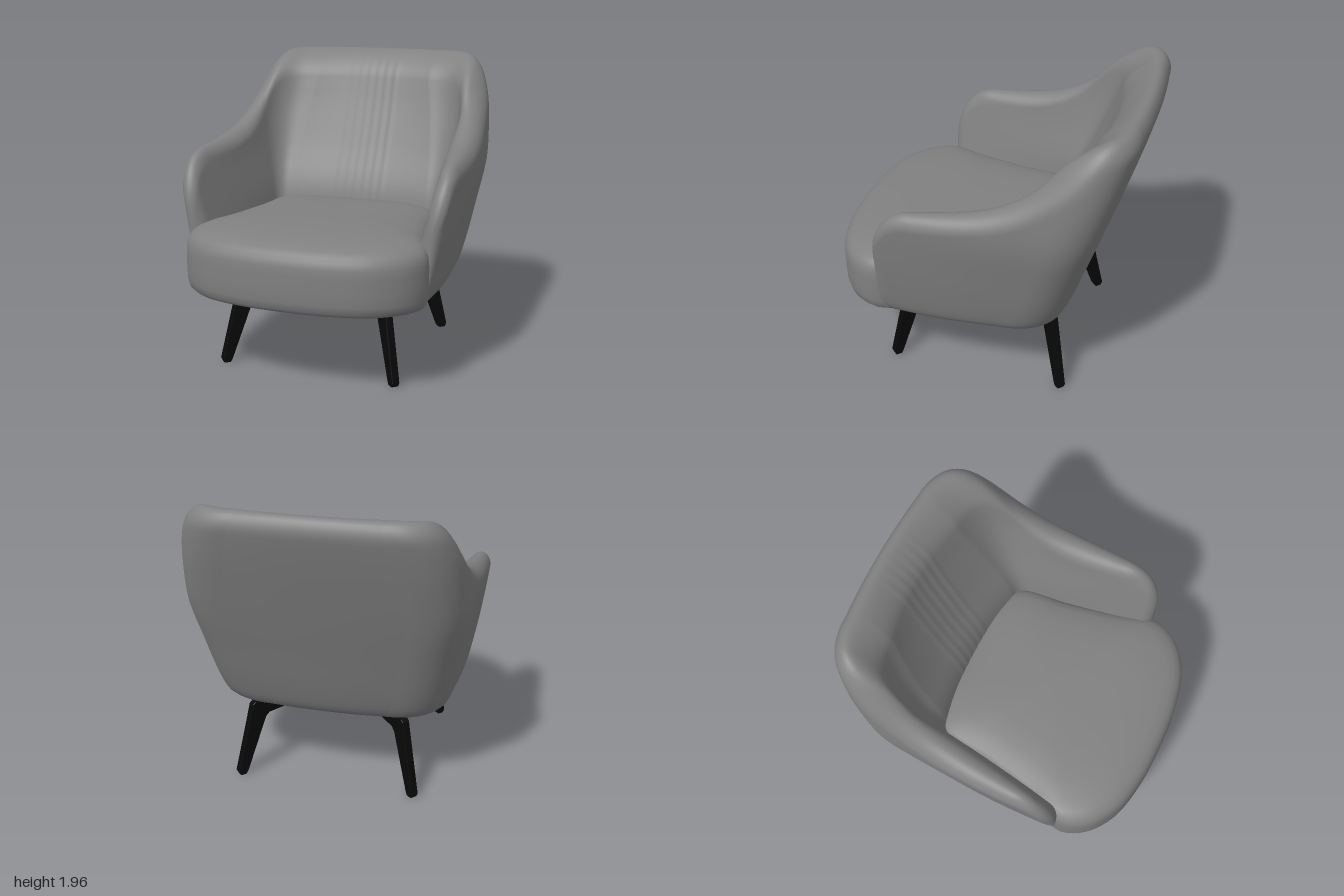
import * as THREE from 'three';

// Smooth monotone interpolation through [x, y] pairs, clamped at both ends
function curve(pts) {
  const n = pts.length;
  const d = pts.slice(1).map((p, i) => (p[1] - pts[i][1]) / (p[0] - pts[i][0]));
  const m = pts.map((_, i) => i === 0 ? d[0] : i === n - 1 ? d[n - 2]
    : d[i - 1] * d[i] > 0 ? 2 * d[i - 1] * d[i] / (d[i - 1] + d[i]) : 0);
  return (x) => {
    if (x <= pts[0][0]) return pts[0][1];
    if (x >= pts[n - 1][0]) return pts[n - 1][1];
    let i = 0;
    while (x > pts[i + 1][0]) i++;
    const h = pts[i + 1][0] - pts[i][0], t = (x - pts[i][0]) / h, t2 = t * t, t3 = t2 * t;
    return (2 * t3 - 3 * t2 + 1) * pts[i][1] + (t3 - 2 * t2 + t) * h * m[i]
      + (3 * t2 - 2 * t3) * pts[i + 1][1] + (t3 - t2) * h * m[i + 1];
  };
}

// Skin over nu stations of nv points each
function loft(nu, nv, fn, closedU, closedV) {
  const pos = [], idx = [];
  for (let i = 0; i < nu; i++) for (let j = 0; j < nv; j++) pos.push(...fn(i, j));
  for (let i = 0; i < (closedU ? nu : nu - 1); i++) {
    for (let j = 0; j < (closedV ? nv : nv - 1); j++) {
      const i2 = (i + 1) % nu, j2 = (j + 1) % nv;
      const a = i * nv + j, b = i * nv + j2, c = i2 * nv + j, e = i2 * nv + j2;
      idx.push(a, b, c, b, e, c);
    }
  }
  const g = new THREE.BufferGeometry();
  g.setAttribute('position', new THREE.Float32BufferAttribute(pos, 3));
  g.setIndex(idx);
  g.computeVertexNormals();
  return g;
}

const { lerp, smoothstep, clamp } = THREE.MathUtils;
const FLOOR = 0.53, FRONT = 0.585;

// Shell plan at height y: half width at the arm fronts and back corners, back z
const outer = {
  wF: curve([[0.53, 0.735], [0.56, 0.765], [0.62, 0.79], [0.8, 0.83], [1, 0.865], [1.3, 0.905]]),
  wB: curve([[0.53, 0.7], [0.56, 0.735], [0.62, 0.76], [1, 0.835], [1.3, 0.88], [1.6, 0.855], [1.8, 0.81], [1.97, 0.75]]),
  zB: curve([[0.53, -0.545], [0.56, -0.575], [0.62, -0.605], [1, -0.735], [1.4, -0.865], [1.8, -0.985], [1.88, -1.003], [1.97, -0.99]]),
  r: () => 0.33, bow: 0.02,
};
const inner = {
  wF: curve([[0.53, 0.62], [0.97, 0.745], [1.3, 0.82]]),
  wB: curve([[0.53, 0.55], [0.97, 0.585], [1.3, 0.645], [1.6, 0.695], [1.97, 0.7]]),
  zB: curve([[0.53, -0.36], [0.97, -0.415], [1.3, -0.56], [1.7, -0.72], [1.97, -0.8]]),
  r: (y) => 0.08 + 0.2 * smoothstep(y, 0.9, 1.85), bow: 0.05,
};

// U-shaped plan path: s = 0 mid back, |s| = 1 arm front
function plan(o, s, y) {
  const a = Math.abs(s), wF = o.wF(y), wB = o.wB(y), zB = o.zB(y), r = o.r(y), zC = zB + o.bow;
  const len = Math.hypot(wF - wB, FRONT - zC);
  const bx = wB + (wF - wB) * r / len, bz = zC + (FRONT - zC) * r / len;
  let x, z;
  if (a < 0.4) {
    const t = a / 0.4;
    x = (wB - r) * t;
    z = zB + o.bow * t * t;
    // Faint vertical pleats in the middle of the backrest
    if (o === inner && x < 0.19) z += 0.0018 * (1 - Math.cos(x / 0.19 * Math.PI * 6));
  } else if (a < 0.58) {
    const t = (a - 0.4) / 0.18, u = 1 - t;
    x = u * u * (wB - r) + 2 * u * t * wB + t * t * bx;
    z = u * u * zC + 2 * u * t * zC + t * t * bz;
  } else {
    const q = 1 - ((1 - a) / 0.42) ** 2;
    x = lerp(bx, wF, q) + 0.02 * Math.sin(Math.PI * q) * (o === outer ? 1 : -0.5);
    z = lerp(bz, FRONT, q);
  }
  return [x * Math.sign(s), z];
}

// Height of the rim along z
const rimBack = curve([[-1, 1.968], [-0.85, 1.955], [-0.75, 1.9], [-0.65, 1.8], [-0.57, 1.71],
  [-0.4, 1.57], [-0.2, 1.47], [0, 1.42], [0.3, 1.38]]);
const rim = (z) => z < 0.3 ? rimBack(z)
  : 1 + 0.38 * Math.sqrt(Math.max(0, 1 - ((z - 0.3) / (FRONT - 0.3)) ** 2));

function shellGeometry() {
  const half = 90, nOut = 18, nArch = 20, nIn = 14;
  const heights = [];
  for (let i = 0; i <= 2 * half; i++) {
    const s = (i - half) / half;
    let h = 1.5;
    for (let k = 0; k < 40; k++) {
      h = lerp(h, rim(lerp(plan(outer, s, h - 0.05)[1], plan(inner, s, h - 0.05)[1], 0.3)), 0.6);
    }
    heights.push(h);
  }
  return loft(2 * half + 1, nOut + nArch + nIn + 1, (i, j) => {
    const s = (i - half) / half, h = heights[i];
    const round = 0.1 + 0.1 * smoothstep(h, 1.4, 1.9), top = h - round;
    // The crest shifts toward the rear as the rim rises
    const lean = 1 + 0.9 * smoothstep(h, 1.4, 1.9);
    let b, y;
    if (j < nOut) {
      b = 0;
      y = lerp(FLOOR, top, (j / nOut) ** 1.5);
    } else if (j <= nOut + nArch) {
      const ang = (j - nOut) / nArch * Math.PI;
      b = ((1 - Math.cos(ang)) / 2) ** lean;
      y = top + round * Math.sin(ang);
    } else {
      b = 1;
      y = lerp(top, FLOOR, (j - nOut - nArch) / nIn);
    }
    const p = plan(outer, s, y), q = plan(inner, s, y);
    // Arm tips close to a rounded edge, which meets the cushion side lower down
    const tip = clamp((p[1] - FRONT + 0.08) / 0.08, 0, 1);
    const mid = 0.1 + 0.4 * smoothstep(y, 0.55, 1.05);
    b = mid + (b - mid) * Math.sqrt(1 - tip * tip);
    return [lerp(p[0], q[0], b), y, lerp(p[1], q[1], b)];
  }, false, true);
}

function seatGeometry() {
  // Right half of the cushion outline, mirrored to close it
  const side = [[0.3, 0.98], [0.55, 0.915], [0.72, 0.79], [0.795, 0.64], [0.78, 0.53],
    [0.73, 0.38], [0.65, 0], [0.59, -0.36], [0.42, -0.46]];
  const pts = [[0, 0.998], ...side.map(([x, z]) => [-x, z]), [0, -0.48], ...side.slice().reverse()];
  const outline = new THREE.CatmullRomCurve3(pts.map(([x, z]) => new THREE.Vector3(x, 0, z)), true);
  // Rings from underside to crown: [scale, height]
  const rings = [[0, 0.532], [0.8, 0.532], [0.92, 0.532], [0.96, 0.541], [0.985, 0.565], [0.997, 0.61], [1, 0.68],
    [1, 0.78], [0.997, 0.83], [0.985, 0.87], [0.96, 0.9], [0.92, 0.924], [0.85, 0.947], [0.7, 0.968],
    [0.5, 0.979], [0.25, 0.984], [0, 0.985]];
  const n = 120, cz = 0.15;
  const loop = outline.getSpacedPoints(n);
  return loft(n, rings.length, (i, j) => {
    const [f, y] = rings[j];
    return [loop[i].x * f, y, cz + (loop[i].z - cz) * f];
  }, true, false);
}

// Arm and leg in one bent profile, extruded to a bar
function legGeometry() {
  const shape = new THREE.Shape([[0.16, 0.513], [0.705, 0.513], [0.722, 0.5], [0.84, 0.03], [0.83, 0.008],
    [0.798, 0.008], [0.785, 0.03], [0.64, 0.4], [0.61, 0.427], [0.19, 0.478], [0.16, 0.478]]
    .map(([x, y]) => new THREE.Vector2(x, y)));
  const g = new THREE.ExtrudeGeometry(shape, {
    depth: 0.04, bevelEnabled: true, bevelThickness: 0.007, bevelSize: 0.007, bevelSegments: 2,
  });
  return g.translate(0, 0, -0.02);
}

export function createModel() {
  const model = new THREE.Group();
  const fabric = new THREE.MeshStandardMaterial({ color: 0x808080, side: THREE.DoubleSide });
  const black = new THREE.MeshStandardMaterial({ color: 0x080808 });
  const add = (name, geometry, material, parent = model) => {
    const mesh = new THREE.Mesh(geometry, material);
    mesh.name = name;
    parent.add(mesh);
    return mesh;
  };

  // Upholstery
  add('backAndArmShell', shellGeometry(), fabric);
  add('seatCushion', seatGeometry(), fabric);

  // Base: hub ring with four splayed legs on the diagonals
  const base = new THREE.Group();
  base.name = 'base';
  model.add(base);
  const ring = new THREE.Shape().absarc(0, 0, 0.205, 0, Math.PI * 2);
  ring.holes.push(new THREE.Path().absarc(0, 0, 0.135, 0, Math.PI * 2, true));
  const hub = new THREE.ExtrudeGeometry(ring, { depth: 0.046, bevelEnabled: false, curveSegments: 32 });
  add('hubRing', hub.rotateX(-Math.PI / 2).translate(0, 0.472, 0), black, base);
  const leg = legGeometry();
  ['frontLeftLeg', 'frontRightLeg', 'backRightLeg', 'backLeftLeg'].forEach((name, i) => {
    add(name, leg, black, base).rotation.y = -Math.PI / 4 - i * Math.PI / 2;
  });
  return model;
}
